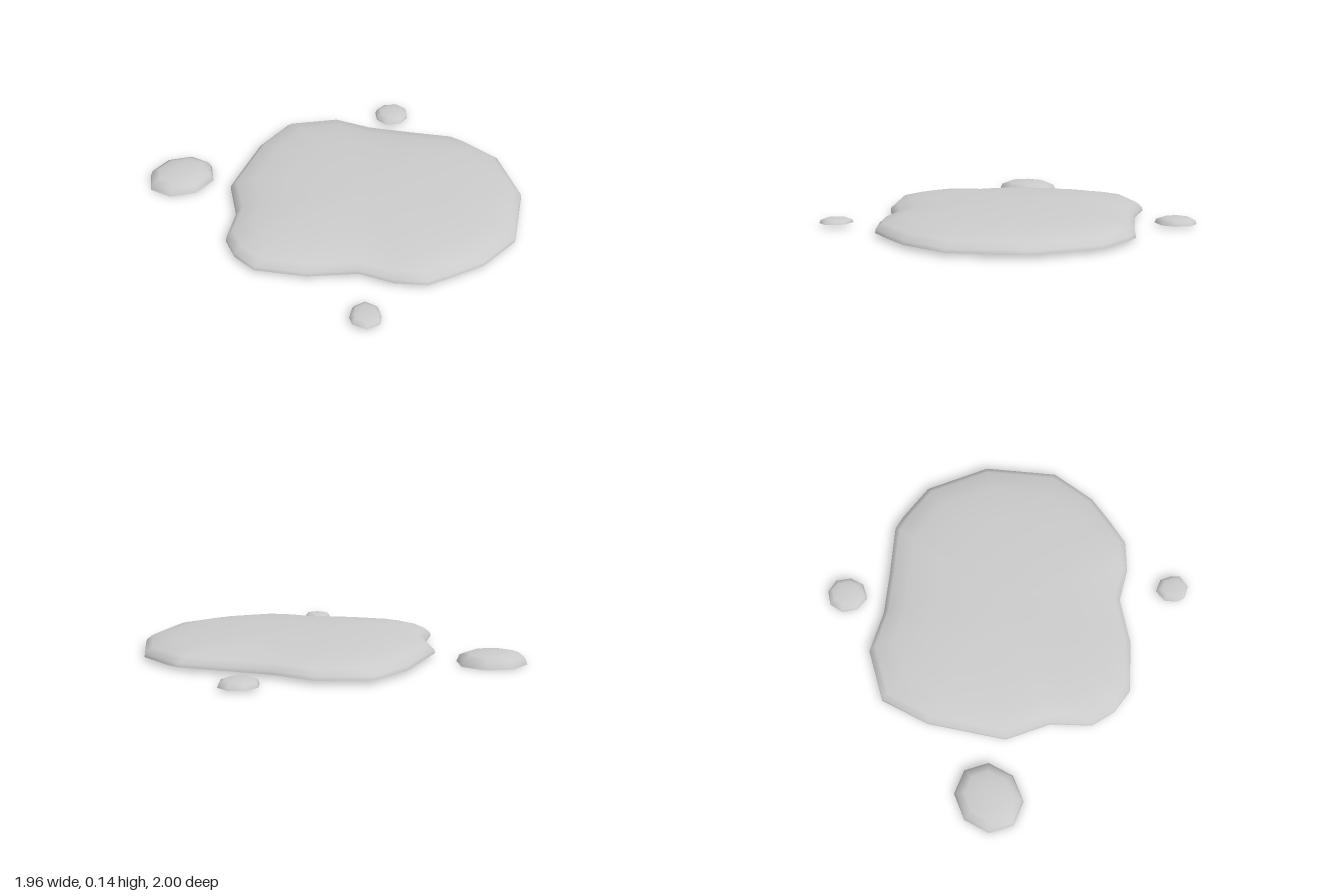
import * as THREE from 'three';

const material = new THREE.MeshStandardMaterial({ color: 0xcccccc, side: THREE.DoubleSide });

// Shallow open shell: the outline is drawn in towards its centre while it rises.
// outline: [x, z] points; profile: [scale, y] rings ending just below the apex.
function dome(name, outline, [cx, cz], profile, apex) {
  const n = outline.length;
  const positions = [];
  const index = [];
  for (const [s, y] of profile) {
    for (const [x, z] of outline) positions.push(cx + (x - cx) * s, y, cz + (z - cz) * s);
  }
  positions.push(cx, apex, cz);
  const top = profile.length * n;
  for (let r = 0; r < profile.length; r++) {
    for (let j = 0; j < n; j++) {
      const a = r * n + j;
      const b = r * n + (j + 1) % n;
      if (r === profile.length - 1) index.push(a, top, b);
      else index.push(a, a + n, b, b, a + n, b + n);
    }
  }
  const geometry = new THREE.BufferGeometry();
  geometry.setAttribute('position', new THREE.Float32BufferAttribute(positions, 3));
  geometry.setIndex(index);
  geometry.computeVertexNormals();
  const mesh = new THREE.Mesh(geometry, material);
  mesh.name = name;
  return mesh;
}

// Rounded droplet profile between a base height and an apex
const dropProfile = (base, apex) =>
  [[1, 0], [0.92, 0.6], [0.7, 0.86], [0.36, 0.97]].map(([s, t]) => [s, base + (apex - base) * t]);

export function createModel() {
  const group = new THREE.Group();
  group.name = 'puddle';

  // Main pool with an irregular outline
  const pool = [
    [0.09, -0.9], [0.38, -0.76], [0.51, -0.54], [0.7, -0.33], [0.9, -0.12], [0.93, -0.03],
    [0.975, 0.22], [0.83, 0.6], [0.5, 0.9], [0.21, 0.955], [0.02, 0.93], [-0.15, 0.9],
    [-0.29, 0.78], [-0.4, 0.605], [-0.65, 0.455], [-0.86, 0.24], [-0.89, 0.08],
    [-0.86, -0.075], [-0.69, -0.25], [-0.58, -0.51], [-0.2, -0.79],
  ];
  const poolProfile = [[1, 0.02], [0.995, 0.042], [0.95, 0.075], [0.81, 0.103], [0.6, 0.122], [0.3, 0.134]];
  group.add(dome('mainPool', pool, [0.05, 0.03], poolProfile, 0.137));

  // Large droplet, a regular octagon
  const octagon = Array.from({ length: 8 }, (_, i) => {
    const a = i * Math.PI / 4;
    return [-0.765 + 0.215 * Math.sin(a), -0.81 - 0.19 * Math.cos(a)];
  });
  group.add(dome('largeDroplet', octagon, [-0.765, -0.81], dropProfile(0, 0.07), 0.07));

  // Two smaller, uneven droplets
  const medium = [
    [0.78, -0.745], [0.86, -0.7], [0.88, -0.62], [0.83, -0.54],
    [0.75, -0.51], [0.66, -0.55], [0.645, -0.64], [0.69, -0.72],
  ];
  group.add(dome('mediumDroplet', medium, [0.765, -0.63], dropProfile(0.013, 0.052), 0.052));

  const small = [
    [-0.59, 0.81], [-0.51, 0.815], [-0.475, 0.89], [-0.5, 0.95],
    [-0.54, 0.995], [-0.62, 0.985], [-0.66, 0.91], [-0.645, 0.86],
  ];
  group.add(dome('smallDroplet', small, [-0.57, 0.9], dropProfile(0.018, 0.047), 0.047));

  return group;
}
